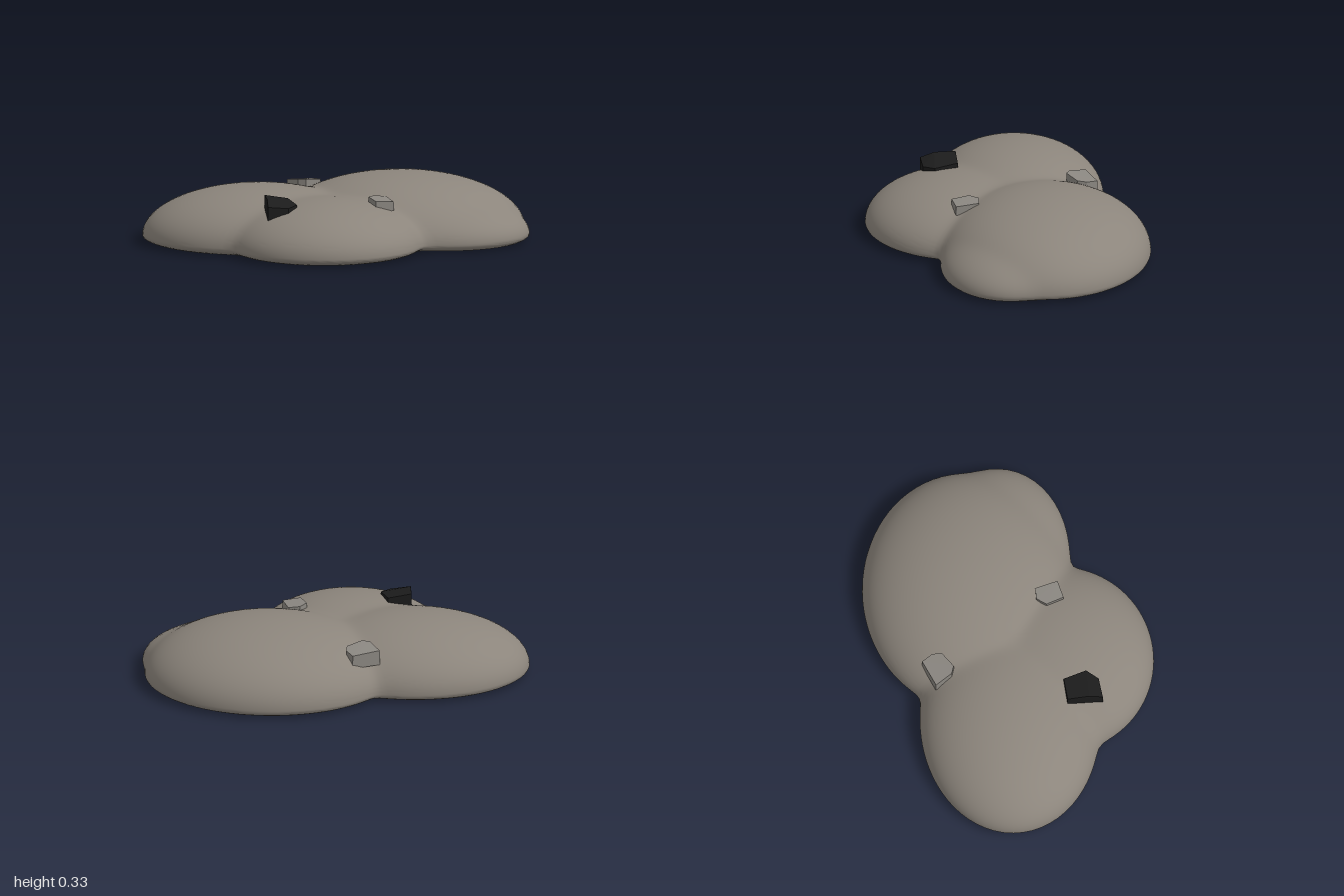
import * as THREE from 'three';
import { toCreasedNormals } from 'three/addons/utils/BufferGeometryUtils.js';
import { ConvexGeometry } from 'three/addons/geometries/ConvexGeometry.js';

const WIDEST = 0.04; // height at which the mound is widest

// Overlapping domes: centre x, centre z, radius x, radius z, height
const lobes = [
  [0.33, -0.2, 0.645, 0.543, 0.33],
  [-0.4, -0.03, 0.6, 0.462, 0.302],
  [-0.07, 0.25, 0.505, 0.483, 0.275],
  [0.55, -0.02, 0.443, 0.355, 0.22],
];

// Smooth union of the domes; positive inside
function inside(x, y, z) {
  let sum = 0;
  for (const [cx, cz, rx, rz, h] of lobes) {
    const ry = y > WIDEST ? h - WIDEST : 0.075;
    const q = ((x - cx) / rx) ** 2 + ((z - cz) / rz) ** 2 + ((y - WIDEST) / ry) ** 2;
    sum += Math.exp(-15 * (q - 1));
  }
  return sum > 1;
}

// Distance along a direction to the surface
function reach(y0, dx, dy, dz) {
  let lo = 0, hi = 1.4;
  for (let i = 0; i < 24; i++) {
    const t = (lo + hi) / 2;
    if (inside(dx * t, y0 + dy * t, dz * t)) lo = t;
    else hi = t;
  }
  return lo;
}

// Rings run from the crown down to the rim, then under to the flat base
function moundGeometry() {
  const around = 128, up = 40, rim = 4;
  const pos = [], index = [];
  const ring = (y0, elevation) => {
    for (let j = 0; j < around; j++) {
      const a = (j / around) * Math.PI * 2;
      const dx = Math.cos(a) * Math.cos(elevation);
      const dz = Math.sin(a) * Math.cos(elevation);
      const dy = 0.3 * Math.sin(elevation);
      const t = reach(y0, dx, dy, dz);
      const tilt = y0 < WIDEST ? 0.005 * dz * t * (WIDEST - y0) / WIDEST : 0;
      pos.push(dx * t, y0 + dy * t + tilt, dz * t);
    }
  };
  for (let i = 0; i <= up; i++) ring(WIDEST, (1 - i / up) * Math.PI / 2);
  for (let i = 1; i <= rim; i++) ring(WIDEST - (i / rim) * 0.033, 0);
  const rings = up + rim + 1;
  for (let i = 0; i < rings - 1; i++) {
    for (let j = 0; j < around; j++) {
      const k = (j + 1) % around;
      const a = i * around + j, b = i * around + k;
      const c = a + around, d = b + around;
      if (i > 0) index.push(a, b, c);
      index.push(b, d, c);
    }
  }
  // Base cap
  const centre = pos.length / 3, last = (rings - 1) * around;
  pos.push(0, 0.006, 0);
  for (let j = 0; j < around; j++) index.push(last + j, last + ((j + 1) % around), centre);

  const g = new THREE.BufferGeometry();
  g.setAttribute('position', new THREE.Float32BufferAttribute(pos, 3));
  g.setIndex(index);
  return toCreasedNormals(g, 0.7);
}

// Faceted chunk: top corners plus a slightly wider sunken foot
function chunkGeometry(top, foot) {
  const pts = top.map((p) => new THREE.Vector3(...p));
  const mid = pts.reduce((s, p) => s.add(p), new THREE.Vector3()).divideScalar(pts.length);
  for (const p of [...pts]) {
    pts.push(new THREE.Vector3(mid.x + (p.x - mid.x) * 1.02, foot, mid.z + (p.z - mid.z) * 1.02));
  }
  return new ConvexGeometry(pts);
}

export function createModel() {
  const group = new THREE.Group();
  const material = (name, color) => {
    const m = new THREE.MeshStandardMaterial({ color });
    m.name = name;
    return m;
  };
  const ash = material('ash grey', 0x8c857c);
  const stone = material('stone grey', 0x8b8781);
  const coal = material('coal black', 0x1c1c1c);

  const add = (name, geometry, mat) => {
    const mesh = new THREE.Mesh(geometry, mat);
    mesh.name = name;
    group.add(mesh);
  };

  add('mound', moundGeometry(), ash);
  add('coalChunk', chunkGeometry([
    [-0.38, 0.303, 0.27], [-0.37, 0.3, 0.38], [-0.368, 0.272, 0.452],
    [-0.26, 0.283, 0.257], [-0.217, 0.27, 0.375], [-0.262, 0.262, 0.437],
  ], 0.2), coal);
  add('frontPebble', chunkGeometry([
    [0.157, 0.275, 0.195], [0.19, 0.274, 0.145], [0.25, 0.268, 0.143],
    [0.285, 0.262, 0.26], [0.192, 0.268, 0.285],
  ], 0.215), stone);
  add('backPebble', chunkGeometry([
    [-0.243, 0.258, -0.4], [-0.107, 0.25, -0.463], [-0.072, 0.257, -0.41],
    [-0.072, 0.264, -0.36], [-0.15, 0.275, -0.303], [-0.19, 0.273, -0.316],
  ], 0.18), stone);
  return group;
}
